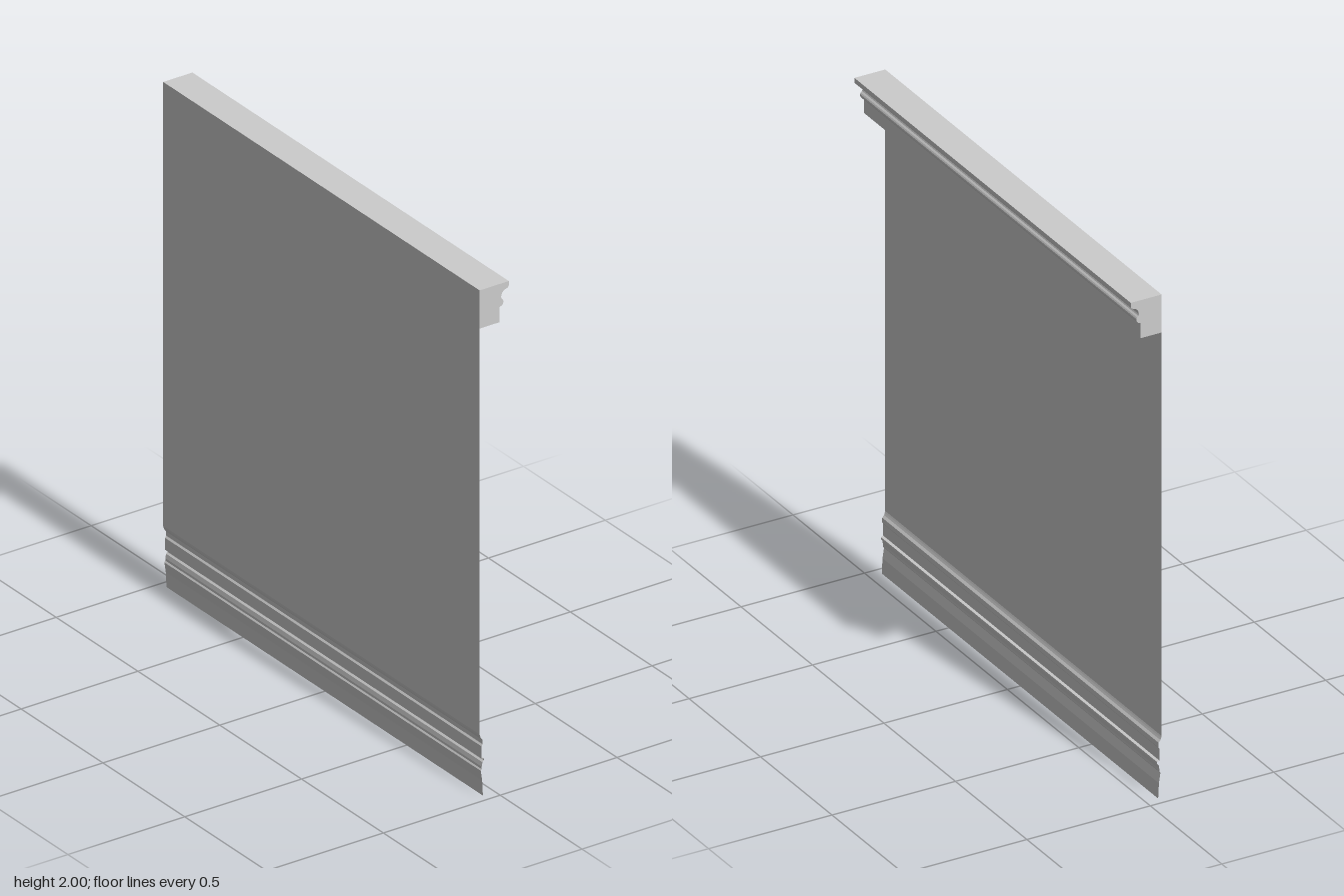
import * as THREE from 'three';

const HALF = 0.967;   // half the length of the wall along z
const BACK = -0.065;  // plane of the wall sheet

// Open sheet: sweeps a bottom-to-top [x, y] profile along z, facing +x
function sweepSheet(profile) {
  const pos = [];
  for (let i = 0; i < profile.length - 1; i++) {
    const [x0, y0] = profile[i], [x1, y1] = profile[i + 1];
    pos.push(x0, y0, HALF, x0, y0, -HALF, x1, y1, -HALF);
    pos.push(x0, y0, HALF, x1, y1, -HALF, x1, y1, HALF);
  }
  const g = new THREE.BufferGeometry();
  g.setAttribute('position', new THREE.Float32BufferAttribute(pos, 3));
  g.computeVertexNormals();
  return g;
}

export function createModel() {
  const group = new THREE.Group();
  const plaster = new THREE.MeshStandardMaterial({ color: 0xcccccc, side: THREE.DoubleSide });
  plaster.name = 'plaster grey';

  const add = (name, geometry) => {
    const mesh = new THREE.Mesh(geometry, plaster);
    mesh.name = name;
    group.add(mesh);
  };

  // Solid crown moulding along the top
  const crown = new THREE.Shape();
  crown.moveTo(BACK, 1.849);
  crown.lineTo(0.02, 1.849);
  crown.lineTo(0.02, 1.909);
  crown.lineTo(0.03, 1.912);
  crown.quadraticCurveTo(0.045, 1.927, 0.029, 1.94);
  crown.lineTo(0.027, 1.946);
  crown.quadraticCurveTo(0.029, 1.968, 0.046, 1.973);
  crown.quadraticCurveTo(0.06, 1.975, 0.06, 1.985);
  crown.lineTo(0.06, 2);
  crown.lineTo(BACK, 2);
  crown.closePath();
  const crownGeometry = new THREE.ExtrudeGeometry(crown, {
    depth: 2 * HALF, bevelEnabled: false, curveSegments: 5,
  });
  crownGeometry.translate(0, 0, -HALF);
  add('crownMoulding', crownGeometry);

  // Thin wall sheet
  add('wallPanel', sweepSheet([[BACK, 0.245], [BACK, 1.849]]));

  // Skirting: [projection from the wall, height]
  const skirting = [
    [0.014, 0], [0.011, 0.06], [0.005, 0.1], [0.009, 0.106], [0.009, 0.115],
    [0.012, 0.132], [0.018, 0.138], [0.018, 0.146], [0.008, 0.149],
    [0.008, 0.196], [0.013, 0.203], [0.012, 0.221], [0.005, 0.23],
    [0.002, 0.238], [0, 0.245],
  ];
  add('skirtingBoard', sweepSheet(skirting.map(([d, y]) => [BACK + d, y])));

  return group;
}
